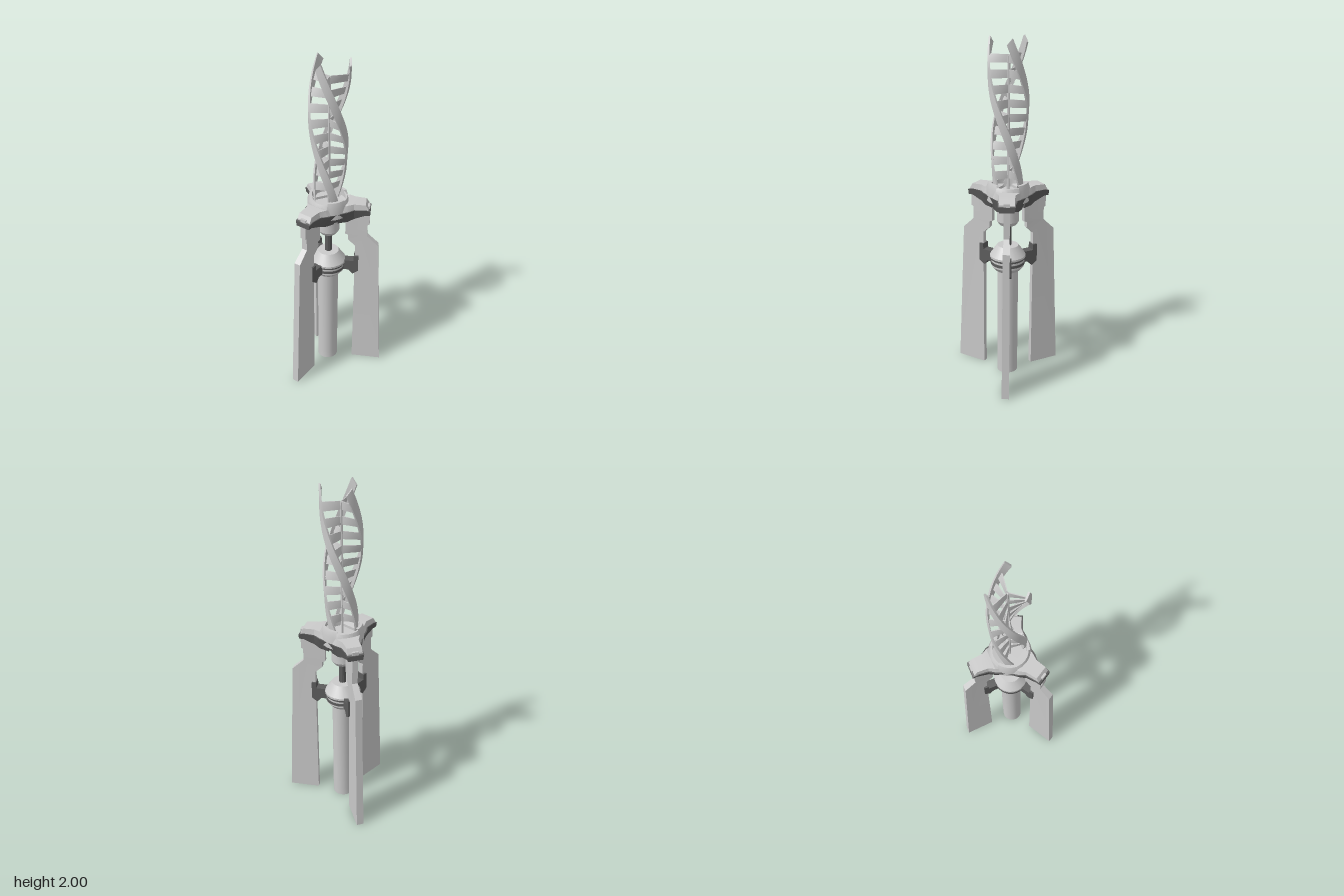
import * as THREE from 'three';
import { toCreasedNormals } from 'three/addons/utils/BufferGeometryUtils.js';

const light = new THREE.MeshStandardMaterial({ color: 0xcacaca, side: THREE.DoubleSide });
light.name = 'lightGrey';
const dark = new THREE.MeshStandardMaterial({ color: 0x5c5c5c, side: THREE.DoubleSide });
dark.name = 'darkGrey';

function add(parent, name, geometry, material) {
  const mesh = new THREE.Mesh(geometry, material);
  mesh.name = name;
  parent.add(mesh);
  return mesh;
}

// Turned part from [radius, y] pairs, listed from the bottom up
function turned(points, segments = 24, start = 0, length = Math.PI * 2) {
  const profile = points.map(([r, y]) => new THREE.Vector2(r, y));
  return toCreasedNormals(new THREE.LatheGeometry(profile, segments, start, length), 0.5);
}

// Moves every vertex of a geometry by a rule
function bend(geometry, rule, crease = 0.5) {
  const p = geometry.attributes.position;
  for (let i = 0; i < p.count; i++) p.setXYZ(i, ...rule(p.getX(i), p.getY(i), p.getZ(i)));
  return toCreasedNormals(geometry, crease);
}

// Beam along +x through stations [r, bottom, top, half width below, half width above]
function beam(stations) {
  const n = stations.length - 1;
  return bend(new THREE.BoxGeometry(1, 1, 1, n, 1, 1), (x, y, z) => {
    const [r, yb, yt, wb, wt] = stations[Math.round((x + 0.5) * n)];
    return [r, y < 0 ? yb : yt, Math.sign(z) * (y < 0 ? wb : wt)];
  }, 0.2);
}

// Flat plate from an outline in (r, y), centred on z = 0
function plate(outline, thickness) {
  const shape = new THREE.Shape(outline.map(([r, y]) => new THREE.Vector2(r, y)));
  const geometry = new THREE.ExtrudeGeometry(shape, { depth: thickness, bevelEnabled: false });
  return geometry.translate(0, 0, -thickness / 2);
}

const legOutline = [
  [0.16, 0], [0.34, 0], [0.296, 0.88], [0.228, 0.945], [0.228, 1.02], [0.24, 1.025],
  [0.24, 1.13], [0.1, 1.13], [0.1, 0.95], [0.118, 0.945], [0.118, 0.91], [0.16, 0.87],
];
const clampOutline = [
  [0.085, 0.70], [0.125, 0.70], [0.15, 0.67], [0.182, 0.695], [0.182, 0.80],
  [0.155, 0.80], [0.155, 0.765], [0.085, 0.765],
];

function makeArm() {
  const arm = new THREE.Group();
  arm.name = 'arm';
  // Leg blade, thicker toward its outer edge
  const leg = bend(plate(legOutline, 2), (r, y, z) => {
    const t = THREE.MathUtils.clamp((r - 0.16) / 0.18, 0, 1);
    return [r, y, z * (0.014 + 0.007 * t)];
  }, 0.2);
  add(arm, 'leg', leg, light);
  add(arm, 'clamp', plate(clampOutline, 0.05), dark);
  add(arm, 'armDeck', beam([
    [0.06, 1.12, 1.16, 0.1, 0.085], [0.115, 1.125, 1.172, 0.076, 0.064],
    [0.15, 1.125, 1.172, 0.053, 0.046], [0.215, 1.125, 1.168, 0.046, 0.042],
    [0.232, 1.125, 1.14, 0.046, 0.043],
  ]), light);
  add(arm, 'armSkirt', beam([
    [0.06, 1.06, 1.13, 0.08, 0.105], [0.115, 1.062, 1.135, 0.06, 0.083],
    [0.15, 1.075, 1.138, 0.045, 0.058], [0.215, 1.1, 1.138, 0.042, 0.05],
    [0.242, 1.1, 1.13, 0.042, 0.048],
  ]), dark);
  add(arm, 'latch', new THREE.BoxGeometry(0.018, 0.03, 0.036).translate(0.23, 1.135, 0), light);
  return arm;
}

// Spiral: angle and radius by height
const spin = (y) => Math.PI + 3.9 * (y - 2);
const reach = (y) => 0.08 + 0.028 * Math.min(1, (y - 1.15) / 0.5);

function strand(offset) {
  return bend(new THREE.BoxGeometry(0.01, 1, 0.046, 1, 28, 2), (x, h, z) => {
    const t = h + 0.5;
    const y = 1.15 + 0.85 * t - 0.035 * t * (z / 0.046 + 0.5);
    const r = reach(y) + x;
    const a = spin(y) + offset + z / r;
    return [r * Math.cos(a), y, r * Math.sin(a)];
  }, 0.6);
}

// Rung twists with the spiral from the spindle out to its strand
function rung(level, offset) {
  return bend(new THREE.BoxGeometry(1, 0.045, 0.005, 4, 2, 1), (x, h, z) => {
    const y = level + h;
    const r = 0.004 + (x + 0.5) * (reach(y) - 0.004);
    const a = spin(y) + offset;
    return [r * Math.cos(a) - z * Math.sin(a), y, r * Math.sin(a) + z * Math.cos(a)];
  }, 0.6);
}

export function createModel() {
  const model = new THREE.Group();
  model.name = 'spiralTower';
  const tower = new THREE.Group();
  tower.name = 'tower';
  tower.position.x = 0.075;
  model.add(tower);

  // Central column
  add(tower, 'lowerColumn', turned([[0, 0], [0.062, 0], [0.062, 0.05], [0.062, 0.06], [0.062, 0.68]], 16), light);
  add(tower, 'bulbBase', turned([[0.062, 0.665], [0.072, 0.668], [0.095, 0.695], [0.095, 0.71]]), light);
  add(tower, 'lowerBand', turned([[0.06, 0.708], [0.1, 0.708], [0.1, 0.724], [0.06, 0.724]]), dark);
  add(tower, 'middleBand', turned([[0.096, 0.724], [0.096, 0.738]]), light);
  add(tower, 'upperBand', turned([[0.06, 0.738], [0.1, 0.738], [0.1, 0.75], [0.06, 0.75]]), dark);
  add(tower, 'bulbCap', turned([[0.09, 0.75], [0.104, 0.75], [0.104, 0.762], [0.062, 0.822], [0, 0.822]]), light);
  add(tower, 'pistonRod', turned([[0.021, 0.82], [0.021, 0.96]], 12), dark);
  add(tower, 'collar', turned([[0, 0.95], [0.05, 0.95], [0.064, 0.972], [0.064, 1.07]]), light);

  // Hub
  add(tower, 'hubSkirt', turned([[0, 1.06], [0.088, 1.06], [0.112, 1.105], [0.118, 1.135]]), dark);
  add(tower, 'hubRing', turned([
    [0.118, 1.125], [0.118, 1.165], [0.106, 1.19], [0.097, 1.19], [0.095, 1.145], [0, 1.145],
  ]), light);

  // Arms and the wall panels between them
  for (let i = 0; i < 3; i++) {
    const turn = (i * Math.PI * 2) / 3;
    const arm = makeArm();
    arm.rotation.y = Math.PI + turn;
    tower.add(arm);
    const panel = turned([[0.1, 1.1], [0.122, 1.1], [0.122, 1.175], [0.112, 1.205], [0.096, 1.205], [0.096, 1.14]],
      6, Math.PI / 2 - 0.48, 0.96);
    add(tower, 'hubPanel', panel, light).rotation.y = turn;
  }

  // Spiral frame
  add(tower, 'spindle', turned([[0.008, 1.14], [0.008, 1.9], [0, 1.905]], 6), light);
  for (let i = 0; i < 3; i++) {
    const offset = (i * Math.PI * 2) / 3;
    add(tower, 'strand', strand(offset), light);
    for (let k = 0; k < 9; k++) add(tower, 'rung', rung(1.245 + k * 0.08, offset), light);
  }
  return model;
}
